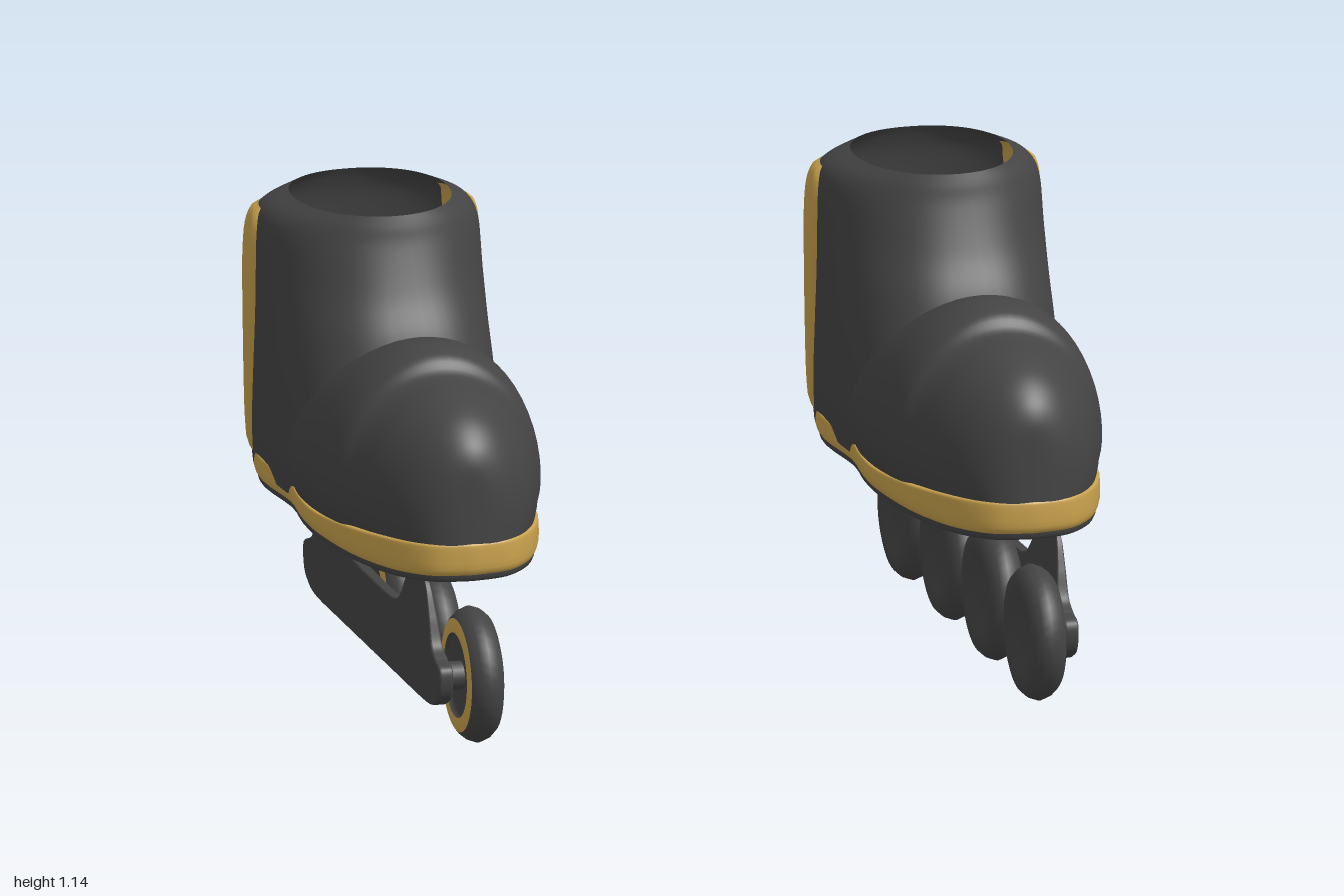
import * as THREE from 'three';
import { mergeVertices } from 'three/addons/utils/BufferGeometryUtils.js';
import { ParametricGeometry } from 'three/addons/geometries/ParametricGeometry.js';

const dark = new THREE.MeshStandardMaterial({ color: 0x444444, side: THREE.DoubleSide });
const gold = new THREE.MeshStandardMaterial({ color: 0xc9a24d, side: THREE.DoubleSide });
const { clamp, lerp, smoothstep } = THREE.MathUtils;

// Smooth interpolation through table rows, t from 0 to 1
function table(rows) {
  const last = rows.length - 1;
  return t => {
    const f = clamp(t, 0, 1) * last, i = Math.min(Math.floor(f), last - 1), k = f - i;
    const [a, b, c, d] = [i - 1, i, i + 1, i + 2].map(j => rows[clamp(j, 0, last)]);
    return b.map((p, n) => {
      const m0 = (c[n] - a[n]) / 2, m1 = (d[n] - p) / 2, e = c[n] - p;
      return p + k * (m0 + k * (3 * e - 2 * m0 - m1 + k * (m0 + m1 - 2 * e)));
    });
  };
}

// Smooth surface from a function (u, v) => [x, y, z]
function surface(name, fn, nu, nv, material) {
  const g = new ParametricGeometry((u, v, p) => p.set(...fn(u, v)), nu, nv);
  g.deleteAttribute('uv');
  g.deleteAttribute('normal');
  const welded = mergeVertices(g, 1e-5);
  welded.computeVertexNormals();
  return named(name, welded, material);
}

function named(name, geometry, material) {
  const mesh = new THREE.Mesh(geometry, material);
  mesh.name = name;
  return mesh;
}

const spow = (c, n) => Math.sign(c) * Math.abs(c) ** (2 / n);

// Ankle shaft rings: y, front z, back z, widest z, half width, front and back roundness
const shaft = table([
  [0.44, 0.02, -0.62, -0.45, 0.262, 4, 2.6],
  [0.55, 0.03, -0.63, -0.45, 0.272, 4, 2.6],
  [0.70, 0.03, -0.632, -0.45, 0.276, 3.3, 2.6],
  [0.84, 0.00, -0.63, -0.45, 0.278, 2.6, 2.6],
  [0.95, -0.055, -0.62, -0.45, 0.28, 2.3, 2.6],
  [1.06, -0.10, -0.605, -0.43, 0.276, 2.1, 2.6],
  [1.11, -0.115, -0.59, -0.40, 0.25, 2, 2.4],
  [1.14, -0.125, -0.575, -0.36, 0.195, 2, 2.2],
]);

function shaftPoint(u, v) {
  const [y, zf, zb, zc, w, nf, nb] = shaft(v);
  const a = u * Math.PI * 2, s = Math.sin(a), n = s > 0 ? nf : nb;
  return [w * spow(Math.cos(a), n), y, zc + spow(s, n) * (s > 0 ? zf - zc : zc - zb)];
}

// Half width of the shaft at depth z
function shaftWidth(v, z) {
  const [, zf, zb, zc, w, nf, nb] = shaft(v);
  const n = z > zc ? nf : nb, s = z > zc ? (z - zc) / (zf - zc) : (zc - z) / (zc - zb);
  return w * Math.max(0, 1 - s ** n) ** (1 / n);
}

// Stripe edges from bottom to top: front z, back z
const stripe = table([
  [-0.475, -0.54], [-0.45, -0.557], [-0.425, -0.556], [-0.405, -0.554],
  [-0.395, -0.55], [-0.395, -0.545], [-0.42, -0.52],
]);

function stripePoint(side, inside) {
  return (u, v) => {
    const [zf, zb] = stripe(v), z = lerp(zf, zb, u), sv = lerp(0.3, 5.8, v) / 7;
    const edge = Math.min(1, 8 * Math.min(u, 1 - u), 20 * Math.min(v, 1 - v));
    const off = inside ? -0.008 : 0.014 * edge - 0.004;
    return [side * (shaftWidth(sv, z) + off), shaft(sv)[0], z];
  };
}

// Toe box sections: z, top height, half width, backward lean of the lower edge
const toe = table([
  [0.575, 0.64, 0, 0], [0.57, 0.70, 0.06, 0], [0.545, 0.75, 0.115, 0],
  [0.49, 0.797, 0.165, 0], [0.40, 0.832, 0.21, 0], [0.30, 0.85, 0.24, 0],
  [0.255, 0.89, 0.262, 0.01], [0.17, 0.905, 0.277, 0.02], [0.07, 0.885, 0.287, 0.04],
  [0, 0.845, 0.284, 0.09], [-0.02, 0.80, 0.262, 0.11], [-0.03, 0.72, 0.2, 0.12],
]);

function toePoint(u, v) {
  const [z, h, w, lean] = toe(v);
  const a = lerp(-0.45, Math.PI + 0.45, u), s = Math.sin(a);
  const y = 0.56 + s * (s > 0 ? h - 0.56 : 0.23);
  return [w * Math.cos(a), y, z - lean * (1 - Math.max(0, s) ** 1.5)];
}

// Sole outline, half: z, half width
const plan = table([
  [0.58, 0], [0.567, 0.08], [0.53, 0.135], [0.45, 0.19], [0.3, 0.24], [0.1, 0.268],
  [-0.05, 0.268], [-0.2, 0.254], [-0.4, 0.27], [-0.53, 0.245], [-0.6, 0.18],
  [-0.625, 0.09], [-0.632, 0],
]);

function solePoint(levels) {
  const level = table(levels);
  return (u, v) => {
    const [z, x] = plan(1 - Math.abs(2 * u - 1));
    const [y, k, wave] = level(v);
    const rise = 0.03 * smoothstep(z, 0, 0.55) + 0.01 * smoothstep(-z, 0.1, 0.5);
    return [(u < 0.5 ? x : -x) * k, y + rise * wave, z * (1 + (k - 1) * 0.6)];
  };
}

function makeBoot() {
  const boot = new THREE.Group();
  boot.name = 'boot';
  boot.add(
    surface('ankleShaft', shaftPoint, 64, 42, dark),
    surface('toeBox', toePoint, 40, 66, dark),
    surface('soleBand', solePoint([[0.418, 0.975, 0], [0.435, 1, 0], [0.46, 1, 0.8], [0.468, 0.985, 1], [0.468, 0.92, 1]]), 72, 12, gold),
    surface('soleEdge', solePoint([[0.418, 0.975, 0], [0.403, 0.96, 0], [0.396, 0.9, 0]]), 72, 6, dark),
    surface('soleBottom', (u, v) => {
      const [x, y, z] = solePoint([[0.396, 0.9, 0], [0.396, 0.9, 0]])(u, 0);
      return [x * (1 - v), y, z * (1 - 0.4 * v)];
    }, 72, 4, dark),
  );
  for (const side of [1, -1]) {
    boot.add(surface('sideStripe', stripePoint(side, false), 16, 30, gold));
    boot.add(surface('stripeLining', stripePoint(side, true), 8, 20, gold));
  }
  return boot;
}

// Wheel turned around x, with its coloured ring facing the frame
function makeWheel() {
  const wheel = new THREE.Group();
  wheel.name = 'wheel';
  const lathe = (name, pts, material) =>
    named(name, new THREE.LatheGeometry(pts.map(p => new THREE.Vector2(...p)), 40), material);
  wheel.add(
    lathe('tire', [[0, -0.026], [0.04, -0.026], [0.07, -0.03], [0.1, -0.04], [0.125, -0.044],
      [0.145, -0.038], [0.16, -0.022], [0.168, 0], [0.16, 0.022], [0.148, 0.036], [0.14, 0.042]], dark),
    lathe('rim', [[0.14, 0.042], [0.122, 0.046], [0.105, 0.045]], gold),
    lathe('hub', [[0.105, 0.045], [0.1, 0.03], [0, 0.03]], dark),
  );
  const axle = named('axle', new THREE.CylinderGeometry(0.035, 0.035, 0.05, 20), dark);
  axle.position.y = 0.05;
  wheel.add(axle);
  wheel.rotation.z = -Math.PI / 2;
  return wheel;
}

// Single side plate with two humps that meet the sole
function makeFrame() {
  const half = [[0.25, 0.088], [0.5, 0.09], [0.58, 0.11], [0.61, 0.14], [0.612, 0.19], [0.57, 0.208],
    [0.53, 0.235], [0.505, 0.3], [0.475, 0.365], [0.44, 0.386], [0.36, 0.386], [0.32, 0.365],
    [0.265, 0.3], [0.22, 0.268], [0.13, 0.258]];
  const pts = [...half, ...half.map(([z, y]) => [-z, y]).reverse()].map(p => new THREE.Vector2(...p));
  const outline = new THREE.Shape();
  outline.moveTo(pts[0].x, pts[0].y);
  outline.splineThru([...pts.slice(1), pts[0]]);
  const g = new THREE.ExtrudeGeometry(outline, {
    depth: 0.024, bevelThickness: 0.006, bevelSize: 0.006, bevelSegments: 3, curveSegments: 90,
  });
  // Thin the plate towards its top
  const p = g.attributes.position;
  for (let i = 0; i < p.count; i++) {
    p.setZ(i, p.getZ(i) * (1 - 0.65 * clamp((p.getY(i) - 0.2) / 0.19, 0, 1)));
  }
  g.computeVertexNormals();
  const frame = named('frame', g, dark);
  frame.rotation.y = -Math.PI / 2;
  frame.position.x = 0.093;
  return frame;
}

function makeSkate(side) {
  const skate = new THREE.Group();
  skate.name = side > 0 ? 'leftSkate' : 'rightSkate';
  skate.add(makeBoot(), makeFrame());
  for (const z of [0.57, 0.19, -0.19, -0.57]) {
    const wheel = makeWheel();
    wheel.position.set(0, 0.168, z);
    skate.add(wheel);
  }
  skate.position.x = side * 0.71;
  skate.scale.x = side;
  return skate;
}

export function createModel() {
  const model = new THREE.Group();
  model.name = 'inlineSkates';
  model.add(makeSkate(1), makeSkate(-1));
  return model;
}
